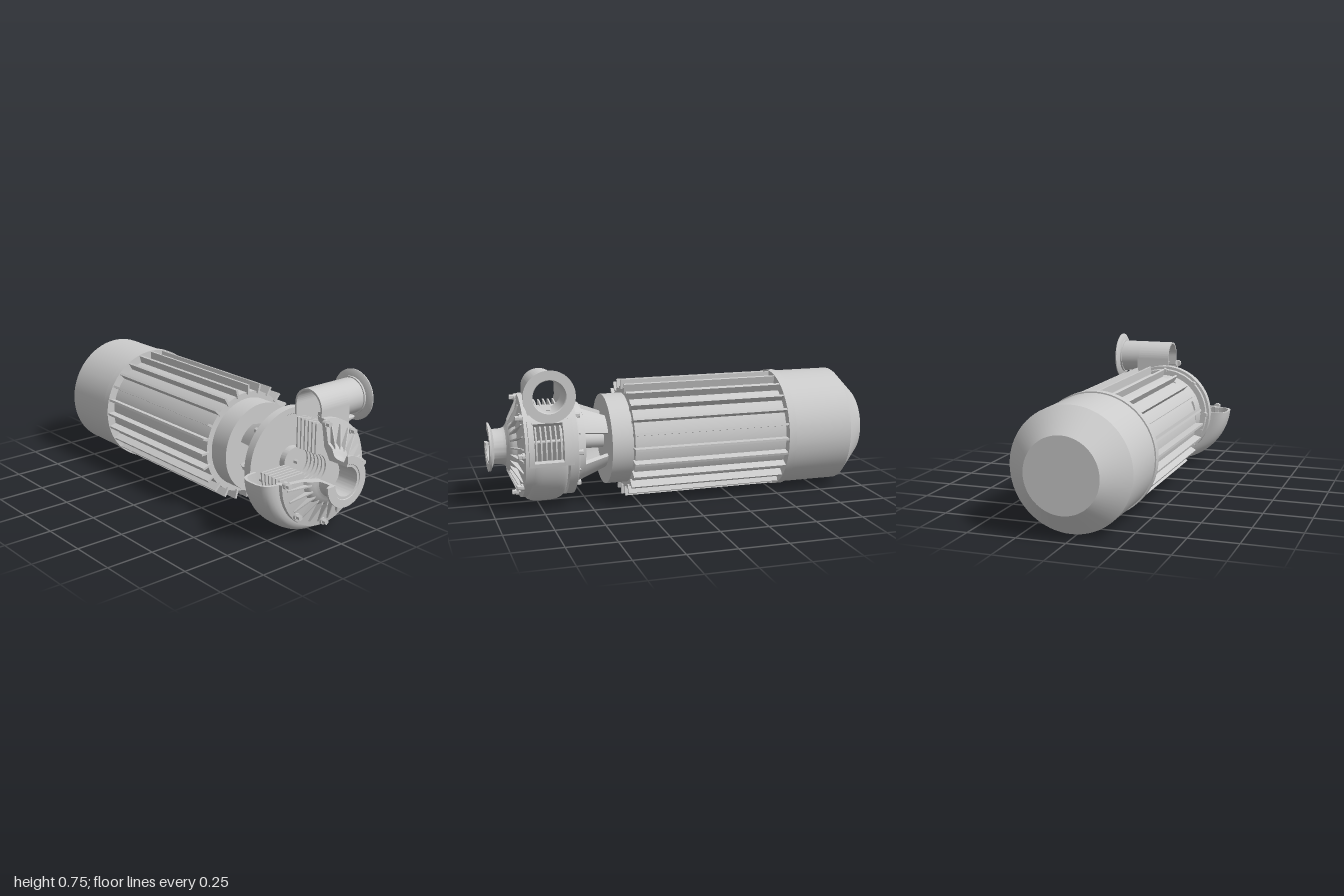
import * as THREE from 'three';
import { toCreasedNormals } from 'three/addons/utils/BufferGeometryUtils.js';

const material = new THREE.MeshStandardMaterial({ color: 0xcccccc, side: THREE.DoubleSide });
const AX = 0.02, AY = 0.313;            // pump and motor axis
const rad = THREE.MathUtils.degToRad;
const vecs = (pts) => pts.map(([a, b]) => new THREE.Vector2(a, b));

function add(parent, name, geometry, x = 0, y = 0, z = 0) {
  const mesh = new THREE.Mesh(geometry, material);
  mesh.name = name;
  mesh.position.set(x, y, z);
  parent.add(mesh);
  return mesh;
}

// Flat cap closing a cut section of (radius, z) points at an angle
function cap(parent, name, pts, deg) {
  const dir = new THREE.Vector3(Math.cos(rad(deg)), Math.sin(rad(deg)), 0);
  const zAxis = new THREE.Vector3(0, 0, 1);
  const geo = new THREE.ShapeGeometry(new THREE.Shape(vecs(pts)));
  geo.applyMatrix4(new THREE.Matrix4().makeBasis(dir, zAxis, dir.clone().cross(zAxis)));
  add(parent, name + 'CutFace', geo);
}

// Revolve a closed (radius, z) profile around z, counted from +x in degrees
function revolve(parent, name, pts, start = 0, length = 360) {
  const segs = Math.max(3, Math.ceil(length / 5));
  const geo = new THREE.LatheGeometry(vecs([...pts, pts[0]]), segs, rad(start + 90), rad(length));
  geo.rotateX(Math.PI / 2);
  add(parent, name, toCreasedNormals(geo, 0.5));
  if (length < 360) [start, start + length].forEach((a) => cap(parent, name, pts, a));
}

const ring = (r0, r1, z0, z1) => [[r0, z0], [r1, z0], [r1, z1], [r0, z1]];

// Cylinder lying along z
function rod(parent, name, r, z0, z1, x = 0, y = 0, sides = 20) {
  const geo = new THREE.CylinderGeometry(r, r, z1 - z0, sides).rotateX(Math.PI / 2);
  add(parent, name, toCreasedNormals(geo, 0.5), x, y, (z0 + z1) / 2);
}

// U-shaped volute wall; depth is how far it bulges past the casing
function voluteSection(depth) {
  const arc = (d, h, r0) => Array.from({ length: 15 }, (_, i) => {
    const t = -Math.PI / 2 + Math.PI * i / 14;
    const pow = (v) => Math.sign(v) * Math.abs(v) ** 0.7;
    return [r0 + d * pow(Math.max(0, Math.cos(t))), 0.727 + h * pow(Math.sin(t))];
  });
  return [...arc(depth, 0.098, 0.25), ...arc(Math.max(depth - 0.012, 0.004), 0.084, 0.25).reverse()];
}

function buildVolute(parent) {
  const steps = 44, start = 180, end = 350, pos = [], idx = [];
  const depthAt = (t) => 0.02 + 0.085 * (1 - t) ** 1.3;
  for (let s = 0; s <= steps; s++) {
    const a = rad(start + (end - start) * s / steps);
    for (const [r, z] of voluteSection(depthAt(s / steps))) pos.push(r * Math.cos(a), r * Math.sin(a), z);
  }
  const n = voluteSection(0.1).length;
  for (let s = 0; s < steps; s++) for (let i = 0; i < n; i++) {
    const j = (i + 1) % n, a = s * n + i, b = s * n + j;
    idx.push(a, a + n, b, b, a + n, b + n);
  }
  const geo = new THREE.BufferGeometry();
  geo.setAttribute('position', new THREE.Float32BufferAttribute(pos, 3));
  geo.setIndex(idx);
  // Faces must point away from the wall
  const flipped = geo.index.array;
  for (let i = 0; i < flipped.length; i += 3) [flipped[i + 1], flipped[i + 2]] = [flipped[i + 2], flipped[i + 1]];
  const test = new THREE.Triangle(), p = geo.attributes.position, k = 7 * 6;
  test.setFromAttributeAndIndices(p, flipped[k], flipped[k + 1], flipped[k + 2]);
  if (test.getNormal(new THREE.Vector3()).x > 0) for (let i = 0; i < flipped.length; i += 3)
    [flipped[i + 1], flipped[i + 2]] = [flipped[i + 2], flipped[i + 1]];
  add(parent, 'voluteShell', toCreasedNormals(geo, 0.6));
  cap(parent, 'voluteShell', voluteSection(depthAt(0)), start);
  cap(parent, 'voluteShell', voluteSection(depthAt(1)), end);
}

function buildMotor(parent) {
  const motor = new THREE.Group();
  motor.name = 'motor';
  revolve(motor, 'motorBody', [[0, -0.55], [0.268, -0.55], [0.268, 0.29], [0, 0.29]]);
  revolve(motor, 'motorFrontFlange', [[0, 0.28], [0.235, 0.28], [0.235, 0.4], [0, 0.4]]);
  revolve(motor, 'fanCover', [[0, -1], [0.187, -1], [0.306, -0.885], [0.306, -0.57],
    [0.313, -0.57], [0.313, -0.53], [0, -0.53]]);
  // Cooling fins
  for (let i = 0; i < 24; i++) {
    const a = rad(i * 15);
    const fin = add(motor, 'coolingFin', new THREE.BoxGeometry(0.05, 0.012, 0.835),
      0.283 * Math.cos(a), 0.283 * Math.sin(a), -0.1175);
    fin.rotation.z = a;
  }
  parent.add(motor);
}

function buildLantern(parent) {
  const lantern = new THREE.Group();
  lantern.name = 'lantern';
  // Four legs leave windows around the shaft
  for (let i = 0; i < 4; i++)
    revolve(lantern, 'lanternLeg', [[0.125, 0.4], [0.15, 0.4], [0.203, 0.53], [0.175, 0.53]], 24 + i * 90, 42);
  revolve(lantern, 'lanternRing', [[0.175, 0.53], [0.203, 0.53], [0.222, 0.575], [0.16, 0.575]]);
  revolve(lantern, 'backPlate', [[0, 0.57], [0.25, 0.57], [0.255, 0.58], [0.27, 0.58], [0.27, 0.622],
    [0.24, 0.622], [0.236, 0.616], [0, 0.616]]);
  rod(lantern, 'shaft', 0.045, 0.39, 0.58, 0, 0, 16);
  for (let i = 0; i < 8; i++) {
    const a = rad(i * 45), b = rad(i * 45 + 22.5);
    rod(lantern, 'backBolt', 0.015, 0.555, 0.59, 0.248 * Math.cos(a), 0.248 * Math.sin(a), 6);
    rod(lantern, 'backStud', 0.007, 0.564, 0.59, 0.245 * Math.cos(b), 0.245 * Math.sin(b), 10);
  }
  parent.add(lantern);
}

function buildPump(parent) {
  const pump = new THREE.Group();
  pump.name = 'pump';
  // Front cover with inlet neck and flange; upper quarter is cut away
  revolve(pump, 'frontCover', [[0.25, 0.8], [0.27, 0.8], [0.27, 0.845], [0.245, 0.85], [0.155, 0.868],
    [0.145, 0.885], [0.135, 0.897], [0.115, 0.905], [0.1, 0.915], [0.093, 0.93], [0.091, 0.975],
    [0.127, 0.99], [0.127, 1], [0.088, 1], [0.086, 0.996], [0.073, 0.996], [0.073, 0.88],
    [0.1, 0.865], [0.13, 0.845], [0.24, 0.825]], 180, 270);
  // Gusset ribs on the cover
  const ribShape = new THREE.Shape(vecs([[0.13, 0.86], [0.245, 0.845], [0.245, 0.857], [0.147, 0.899], [0.13, 0.9]]));
  for (let i = 0; i < 18; i++) {
    const geo = new THREE.ExtrudeGeometry(ribShape, { depth: 0.007, bevelEnabled: false });
    geo.translate(0, 0, -0.0035).rotateX(Math.PI / 2);
    add(pump, 'coverRib', geo).rotation.z = rad(187.5 + i * 15);
  }
  // Cover bolts
  for (let i = 0; i < 7; i++) {
    const a = rad(180 + i * 45), x = 0.25 * Math.cos(a), y = 0.25 * Math.sin(a);
    rod(pump, 'boltWasher', 0.018, 0.84, 0.86, x, y);
    rod(pump, 'boltHead', 0.0135, 0.855, 0.88, x, y, 6);
  }
  // Stacked impeller discs, hub, spacer pins and shaft nut
  for (let i = 0; i < 6; i++)
    revolve(pump, 'impellerDisc', ring(0.075, 0.232, 0.655 + i * 0.025, 0.663 + i * 0.025), 180, 270);
  revolve(pump, 'impellerHub', [[0, 0.61], [0.072, 0.61], [0.072, 0.65], [0, 0.65]]);
  rod(pump, 'shaftNut', 0.013, 0.65, 0.675, 0, 0, 6);
  for (let i = 0; i < 9; i++) {
    const a = rad(195 + i * 30);
    rod(pump, 'spacerPin', 0.009, 0.62, 0.8, 0.21 * Math.cos(a), 0.21 * Math.sin(a), 12);
  }
  buildVolute(pump);
  // Side inspection window frame and the wall above it
  revolve(pump, 'windowFrameBack', ring(0.25, 0.284, 0.605, 0.655), -11, 48);
  revolve(pump, 'windowFrameFront', ring(0.25, 0.284, 0.803, 0.83), -11, 48);
  for (const a of [-11, 33]) revolve(pump, 'windowFrameEnd', ring(0.25, 0.286, 0.65, 0.808), a, 4);
  revolve(pump, 'casingWall', ring(0.25, 0.268, 0.62, 0.83), 37, 18);
  parent.add(pump);
}

function buildOutlet(parent) {
  const outlet = new THREE.Group();
  outlet.name = 'outlet';
  outlet.position.set(0, 0.615, 0.73);
  const pipe = (name, pts, start, length) => {
    const geo = new THREE.LatheGeometry(vecs([...pts, pts[0]]), 48, start, length).rotateZ(-Math.PI / 2);
    add(outlet, name, toCreasedNormals(geo, 0.5));
  };
  // Upper half over the volute opening, then the full round pipe with flange
  pipe('outletArch', ring(0.08, 0.09, 0.02, 0.2), Math.PI, Math.PI);
  pipe('outletPipe', [[0.08, 0.2], [0.09, 0.2], [0.09, 0.308], [0.096, 0.308], [0.096, 0.318], [0.118, 0.323],
    [0.13, 0.33], [0.13, 0.335], [0.084, 0.335], [0.08, 0.33]], 0, Math.PI * 2);
  // Side walls down to the casing
  const wall = new THREE.Shape();
  wall.moveTo(0.02, 0).lineTo(0.21, 0).lineTo(0.21, -0.11).lineTo(0.17, -0.13).lineTo(0.02, -0.06);
  for (const z of [-0.09, 0.08])
    add(outlet, 'outletSideWall', new THREE.ExtrudeGeometry(wall, { depth: 0.01, bevelEnabled: false }), 0, 0, z);
  // Rounded throat between pipe and casing
  const throat = new THREE.Shape();
  throat.moveTo(0.17, -0.08).lineTo(0.26, -0.08).lineTo(0.25, -0.088);
  throat.quadraticCurveTo(0.21, -0.09, 0.195, -0.13).lineTo(0.17, -0.13);
  const geo = new THREE.ExtrudeGeometry(throat, { depth: 0.12, bevelEnabled: true, bevelSize: 0.006, bevelThickness: 0.02, bevelSegments: 4 });
  add(outlet, 'outletThroat', toCreasedNormals(geo, 0.6), 0, 0, -0.06);
  parent.add(outlet);
}

export function createModel() {
  const model = new THREE.Group();
  model.name = 'motorPump';
  const axis = new THREE.Group();
  axis.name = 'axisAssembly';
  axis.position.set(AX, AY, 0);
  model.add(axis);
  buildMotor(axis);
  buildLantern(axis);
  buildPump(axis);
  buildOutlet(model);
  return model;
}
